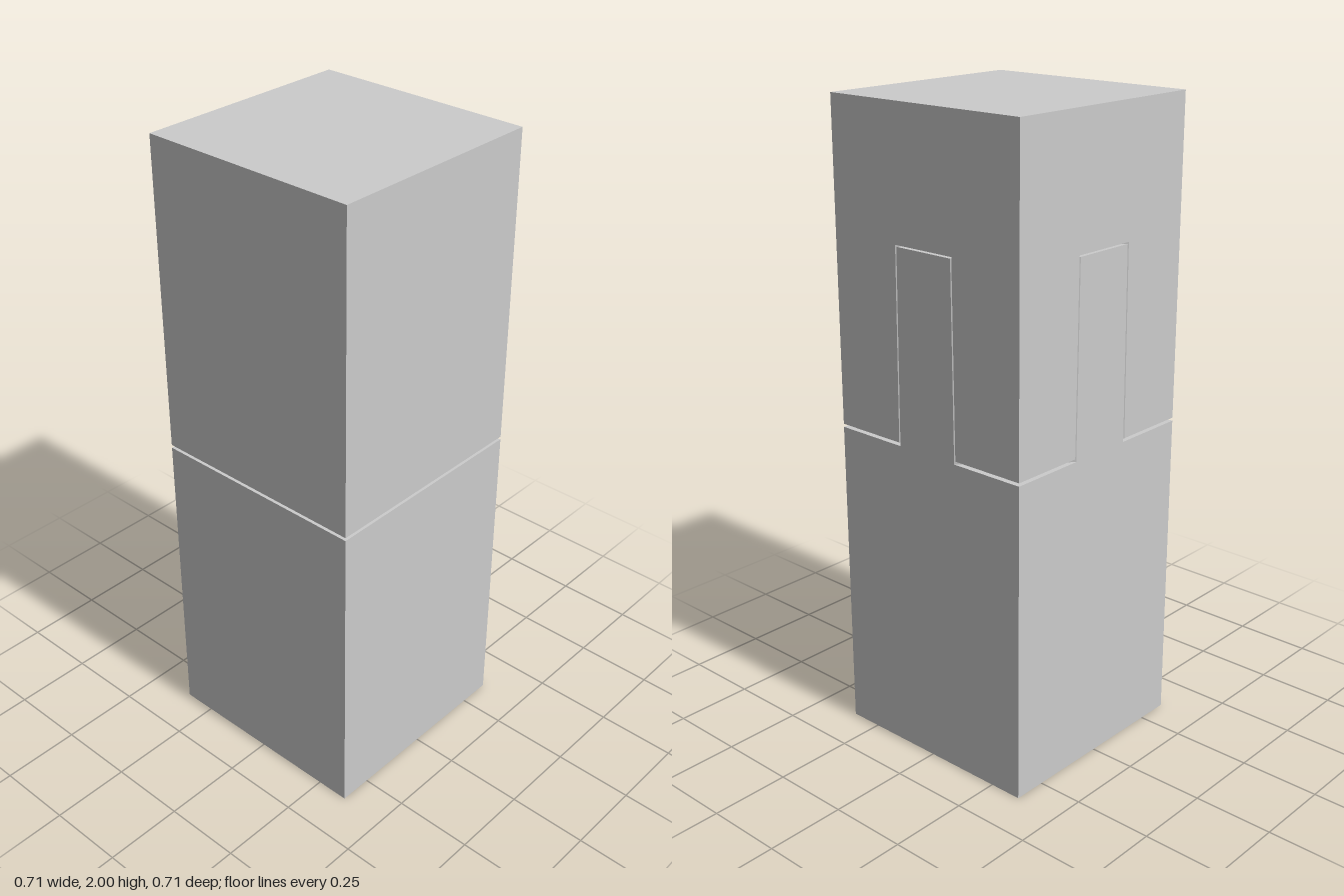
import * as THREE from 'three';

const H = 0.355; // half width of the post

// Triangulates flat polygons (corners counter-clockwise from outside) into one geometry.
function fromPolygons(polygons) {
  const positions = [];
  for (const pts of polygons) {
    const n = new THREE.Vector3();
    pts.forEach((p, i) => n.add(p.clone().cross(pts[(i + 1) % pts.length])));
    n.normalize();
    const u = pts[1].clone().sub(pts[0]).normalize();
    const v = n.clone().cross(u);
    const flat = pts.map((p) => new THREE.Vector2(p.dot(u), p.dot(v)));
    for (const tri of THREE.ShapeUtils.triangulateShape(flat, [])) {
      for (const i of tri) positions.push(...pts[i].toArray());
    }
  }
  const geometry = new THREE.BufferGeometry();
  geometry.setAttribute('position', new THREE.Float32BufferAttribute(positions, 3));
  geometry.computeVertexNormals();
  return geometry;
}

// Half of the joint: a square post from "outer" to "seam" with a diagonal key running
// from the +x face to the back face. The key is a tenon, or a slot when inverted.
function jointHalf(name, { outer: o, seam: s, keyTop: t, w0, w1, inverted }) {
  const P = (x, y, z) => new THREE.Vector3(x, y, z);
  // Mirror across the joint's diagonal plane
  const mirror = (poly) => poly.map((p) => P(-p.z, p.y, -p.x)).reverse();

  const keyedSide = [
    P(H, o, H), P(H, o, -H), P(H, s, -H), P(H, s, -w0),
    P(H, t, -w1), P(H, t, w1), P(H, s, w0), P(H, s, H),
  ];
  const plainSide = [P(-H, o, H), P(H, o, H), P(H, s, H), P(-H, s, H)];
  const polygons = [
    keyedSide, mirror(keyedSide),
    plainSide, mirror(plainSide),
    // end cap
    [P(-H, o, -H), P(H, o, -H), P(H, o, H), P(-H, o, H)],
    // shoulders on both sides of the key
    [P(-H, s, -H), P(-H, s, H), P(H, s, H), P(H, s, w0), P(-w0, s, -H)],
    [P(H, s, -w0), P(H, s, -H), P(w0, s, -H)],
    // key end and cheeks
    [P(H, t, w1), P(H, t, -w1), P(w1, t, -H), P(-w1, t, -H)],
    [P(-w0, s, -H), P(H, s, w0), P(H, t, w1), P(-w1, t, -H)],
    [P(H, s, -w0), P(w0, s, -H), P(w1, t, -H), P(H, t, -w1)],
  ];
  if (inverted) polygons.forEach((p) => p.reverse());

  const material = new THREE.MeshStandardMaterial({ color: 0xcccccc, flatShading: true });
  const mesh = new THREE.Mesh(fromPolygons(polygons), material);
  mesh.name = name;
  return mesh;
}

export function createModel() {
  const group = new THREE.Group();
  group.name = 'slidingPostJoint';
  group.add(
    jointHalf('lowerPostWithTenon', { outer: 0, seam: 1, keyTop: 1.597, w0: 0.109, w1: 0.104, inverted: false }),
    jointHalf('upperPostWithSlot', { outer: 2, seam: 1.01, keyTop: 1.602, w0: 0.114, w1: 0.109, inverted: true }),
  );
  return group;
}
